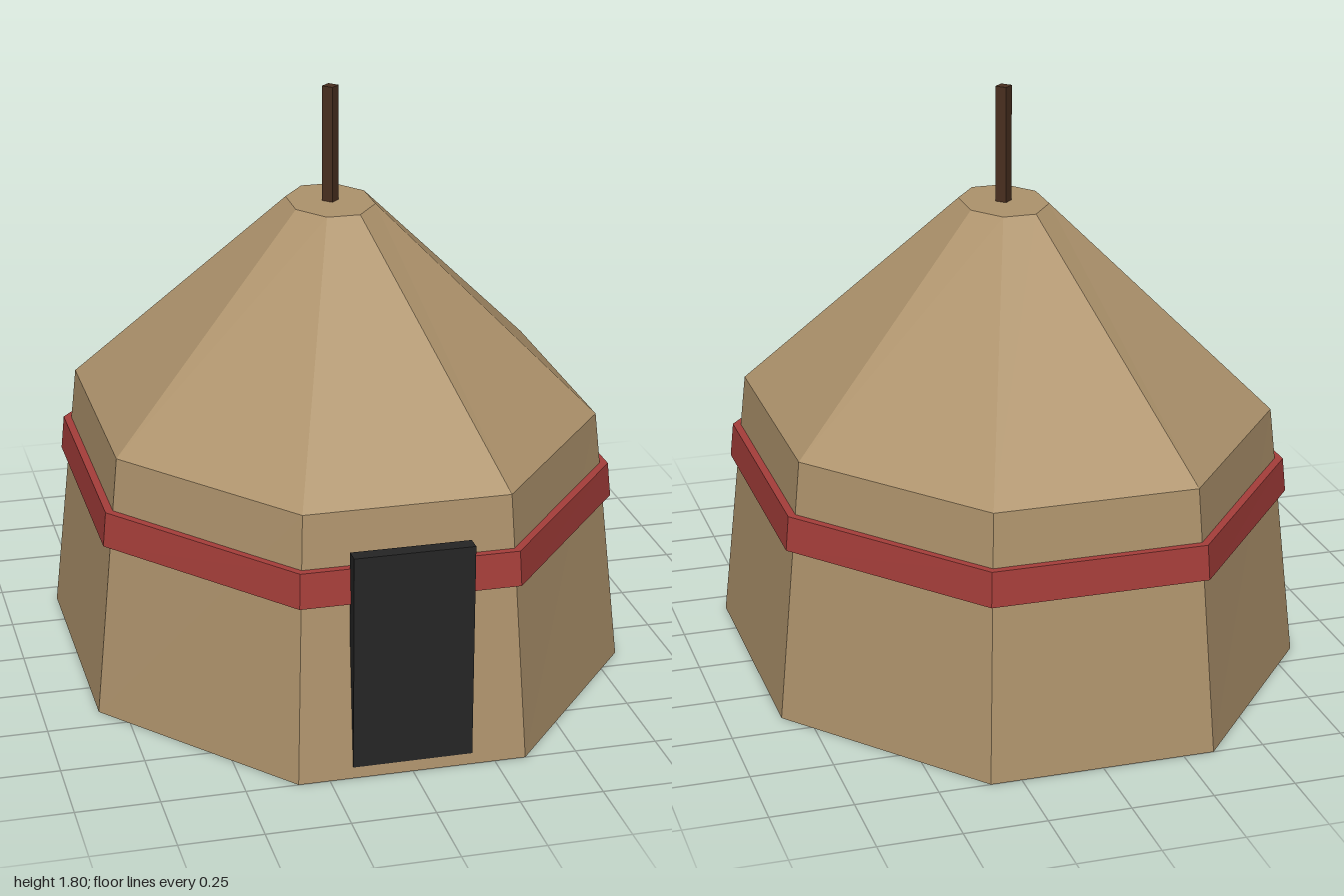
import * as THREE from 'three';

const material = (name, color) => {
  const m = new THREE.MeshStandardMaterial({ color, flatShading: true });
  m.name = name;
  return m;
};

// Eight-sided frustum; bottom and top are [half width in x, half depth in z].
function octagonFrustum(y0, y1, bottom, top) {
  const r = 1 / Math.cos(Math.PI / 8);
  const geo = new THREE.CylinderGeometry(r, r, y1 - y0, 8, 1, false, Math.PI / 8);
  geo.translate(0, (y0 + y1) / 2, 0);
  const p = geo.attributes.position;
  const mid = (y0 + y1) / 2;
  for (let i = 0; i < p.count; i++) {
    const [sx, sz] = p.getY(i) > mid ? top : bottom;
    p.setX(i, p.getX(i) * sx);
    p.setZ(i, p.getZ(i) * sz);
  }
  const flat = geo.toNonIndexed();
  flat.computeVertexNormals();
  return flat;
}

export function createModel() {
  const canvas = material('tan canvas', 0xae936c);
  const red = material('red cloth', 0xa63e3a);
  const dark = material('dark doorway', 0x252525);
  const wood = material('brown wood', 0x4a3020);

  const tent = new THREE.Group();
  tent.name = 'tent';
  const add = (name, geo, mat) => {
    const mesh = new THREE.Mesh(geo, mat);
    mesh.name = name;
    tent.add(mesh);
    return mesh;
  };

  // Canvas body
  add('wall', octagonFrustum(0, 0.813, [0.83, 1.0], [0.748, 0.917]), canvas);
  add('roof', octagonFrustum(0.813, 1.443, [0.748, 0.917], [0.125, 0.167]), canvas);

  // Band around the wall
  add('band', octagonFrustum(0.543, 0.65, [0.798, 0.966], [0.788, 0.957]), red);

  // Upright door slab at the front
  add('door', new THREE.BoxGeometry(0.36, 0.665, 0.046), dark).position.set(0, 0.3675, 0.977);

  // Four-sided centre pole
  const pole = new THREE.CylinderGeometry(0.026, 0.026, 0.46, 4).toNonIndexed();
  pole.computeVertexNormals();
  add('pole', pole, wood).position.y = 1.575;

  return tent;
}
